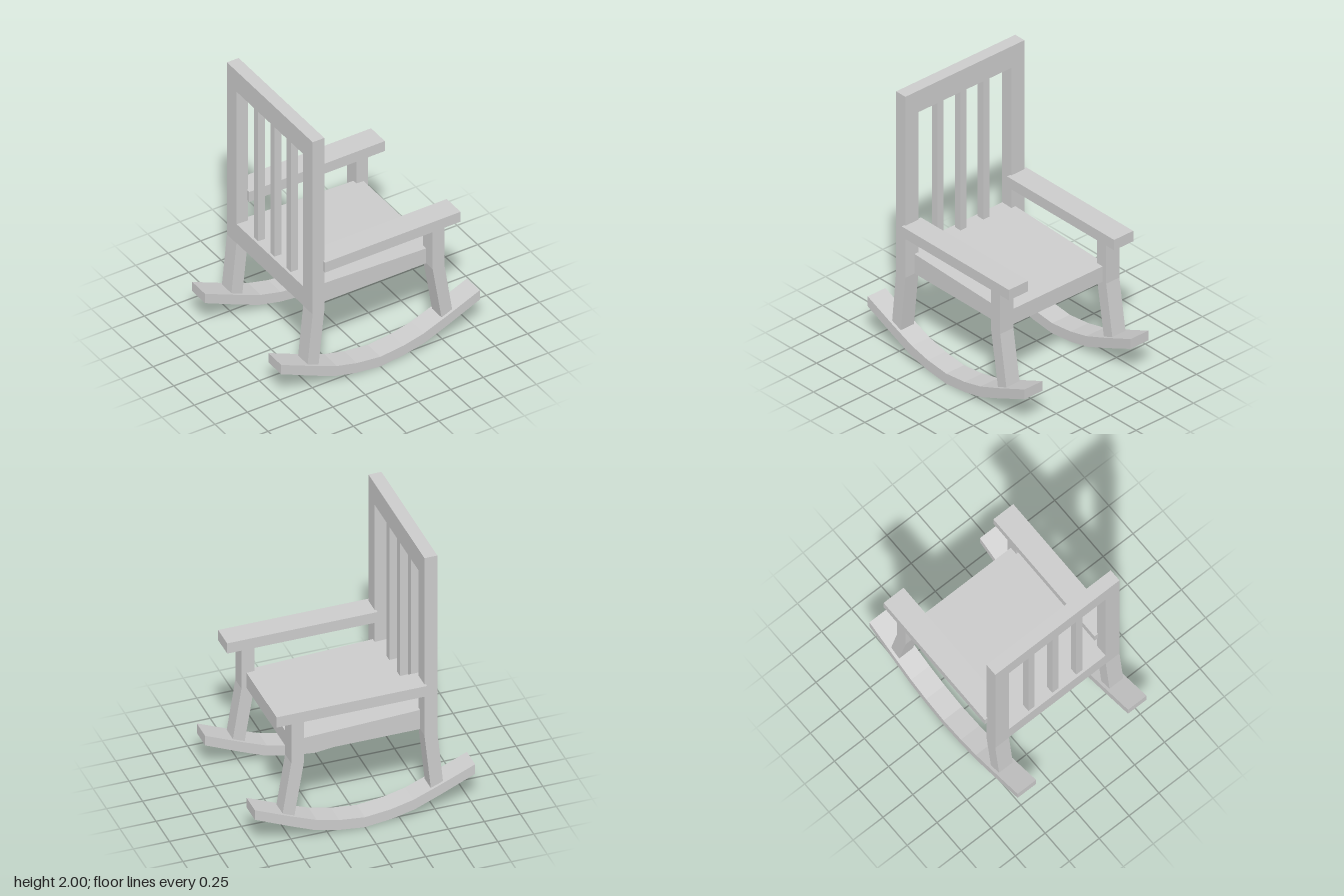
import * as THREE from 'three';

const material = new THREE.MeshStandardMaterial({ color: 0xcccccc, flatShading: true });

// Side profile in x/y, extruded across z from z0 to z1
function slab(name, points, z0, z1) {
  const shape = new THREE.Shape(points.map(([x, y]) => new THREE.Vector2(x, y)));
  const geometry = new THREE.ExtrudeGeometry(shape, { depth: z1 - z0, bevelEnabled: false });
  geometry.translate(0, 0, z0);
  const mesh = new THREE.Mesh(geometry, material);
  mesh.name = name;
  return mesh;
}

const rect = (x0, x1, y0, y1) => [[x0, y0], [x1, y0], [x1, y1], [x0, y1]];

export function createModel() {
  const group = new THREE.Group();
  group.name = 'rockingChair';

  // Curved runner: half profiles mirrored about x = 0
  const lower = [[0.185, 0.023], [0.345, 0.06], [0.515, 0.13], [0.765, 0.24]];
  const upper = [[0.765, 0.315], [0.515, 0.208], [0.335, 0.137], [0.18, 0.1]];
  const mirror = (pts) => pts.map(([x, y]) => [-x, y]).reverse();
  const rocker = [[0, 0.002], ...lower, ...upper, [0, 0.08], ...mirror(upper), ...mirror(lower)];

  // Posts are straight above the seat base and splay out below it
  const backPost = [[-0.55, 0.21], [-0.465, 0.18], [-0.42, 0.61], [-0.42, 2], [-0.51, 2], [-0.51, 0.61]];
  const frontPost = [[0.485, 0.18], [0.567, 0.215], [0.505, 0.61], [0.505, 0.935], [0.415, 0.935], [0.415, 0.61]];

  // Parts that come in pairs, one on each side
  const pairs = [
    ['rocker', rocker, 0.385, 0.54],
    ['backPost', backPost, 0.405, 0.52],
    ['frontPost', frontPost, 0.405, 0.52],
    ['armrest', rect(-0.43, 0.615, 0.93, 1.01), 0.376, 0.543],
  ];
  for (const [name, profile, inner, outer] of pairs) {
    group.add(slab(name + 'Near', profile, inner, outer));
    group.add(slab(name + 'Far', profile, -outer, -inner));
  }

  // Seat with a slightly sloping top
  group.add(slab('seat', [[-0.508, 0.61], [0.47, 0.61], [0.47, 0.727], [-0.508, 0.763]], -0.44, 0.44));

  // Backrest top rail and slats
  group.add(slab('topRail', rect(-0.51, -0.42, 1.835, 2), -0.405, 0.405));
  for (const z of [-0.2, 0, 0.2]) {
    group.add(slab('backSlat', rect(-0.49, -0.435, 0.74, 1.85), z - 0.026, z + 0.026));
  }
  return group;
}
